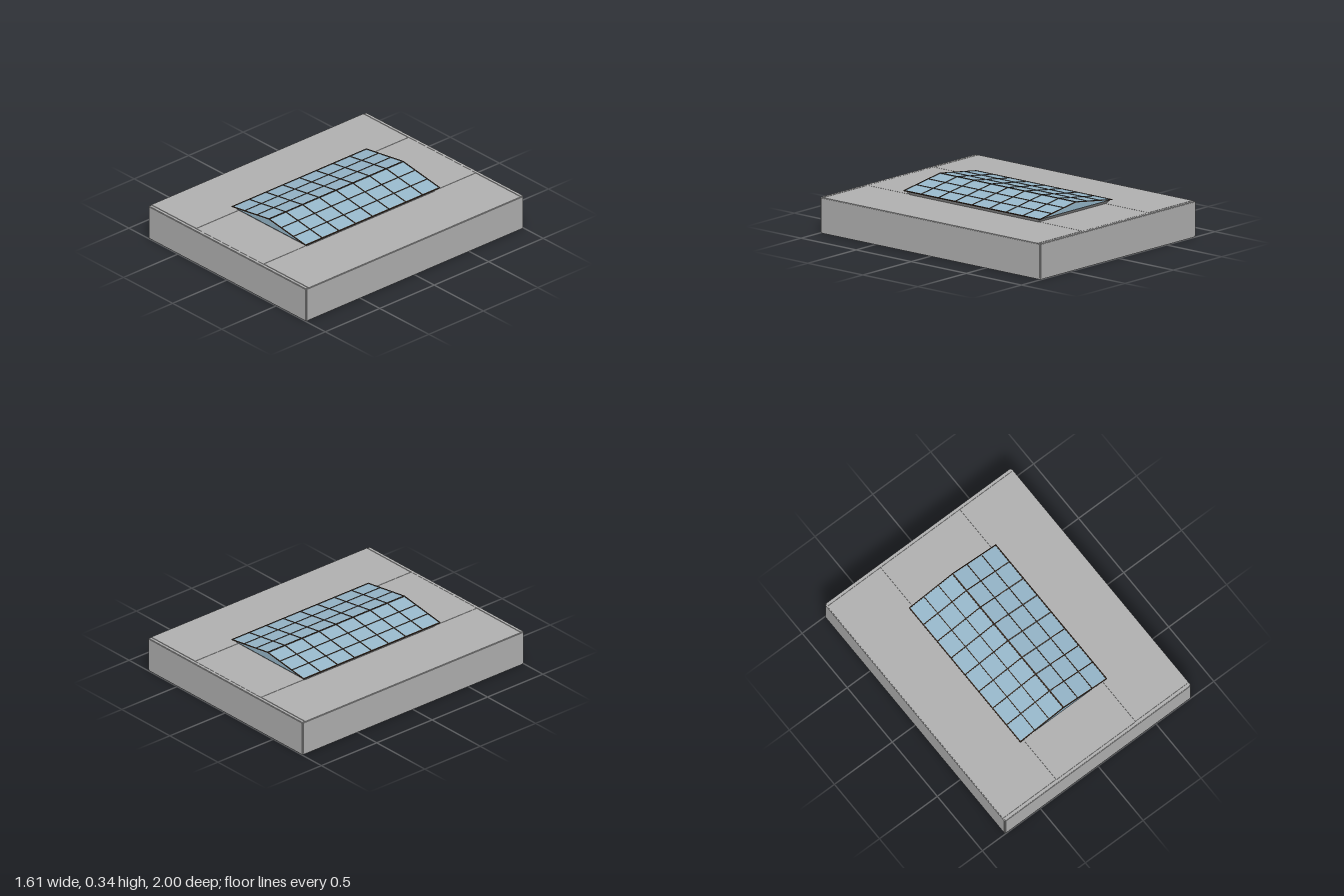
import * as THREE from 'three';

const mat = (name, color) => {
  const m = new THREE.MeshStandardMaterial({ color });
  m.name = name;
  return m;
};

export function createModel() {
  const concrete = mat('grey concrete', 0xb2b2b2);
  const glass = mat('blue glass', 0x98b9cc);
  const frame = mat('dark brown frame', 0x3a2c22);
  const root = new THREE.Group();
  root.name = 'skylightRoof';

  const add = (name, geometry, material, x = 0, y = 0, z = 0, parent = root) => {
    const mesh = new THREE.Mesh(geometry, material);
    mesh.name = name;
    mesh.position.set(x, y, z);
    parent.add(mesh);
    return mesh;
  };
  const box = (name, material, w, h, d, x, y, z, parent) =>
    add(name, new THREE.BoxGeometry(w, h, d), material, x, y, z, parent);

  // Base slab, bottom plate and wall panels with small open corners
  box('baseCore', concrete, 1.59, 0.235, 1.98, 0, 0.1265, 0);
  box('bottomPlate', concrete, 1.6, 0.01, 1.99, 0, 0.005, 0);
  for (const s of [-1, 1]) {
    box('endWall', concrete, 1.594, 0.237, 0.012, 0, 0.1285, s * 0.994);
    box('sideWall', concrete, 0.012, 0.237, 1.984, s * 0.799, 0.1285, 0);
    // Thin roof sheets beside the centre strip, and edge trims
    box('sideRoofSheet', concrete, 0.457, 0.006, 1.944, s * 0.5725, 0.249, 0);
    box('edgeTrim', concrete, 1.594, 0.006, 0.02, 0, 0.249, s * 0.987);
  }
  box('centreRoofSheet', concrete, 0.682, 0.006, 1.95, 0, 0.249, 0);

  // Flared curb: a box whose lower corners are drawn inward
  const curb = new THREE.BoxGeometry(0.73, 0.032, 1.22);
  const p = curb.attributes.position;
  for (let i = 0; i < p.count; i++) {
    if (p.getY(i) < 0) p.setXYZ(i, p.getX(i) * 0.95, p.getY(i), p.getZ(i) * 0.95);
  }
  curb.computeVertexNormals();
  add('flaredCurb', curb, concrete, 0, 0.263, 0);

  // Glazed gable roof
  const W = 0.372, L = 1.23, EAVE = 0.28, RIDGE = 0.333;
  const gable = new THREE.Shape([
    new THREE.Vector2(-W, EAVE),
    new THREE.Vector2(W, EAVE),
    new THREE.Vector2(0, RIDGE),
  ]);
  add('skylightGlass', new THREE.ExtrudeGeometry(gable, { depth: L, bevelEnabled: false }),
    glass, 0, 0, -L / 2);

  // Glazing bars, laid out in the plane of each slope
  const rise = RIDGE - EAVE;
  const slopeLength = Math.hypot(W, rise);
  for (const s of [-1, 1]) {
    const slope = new THREE.Group();
    slope.name = s > 0 ? 'leftGlazingBars' : 'rightGlazingBars';
    slope.position.set(s * W / 2, (EAVE + RIDGE) / 2, 0);
    slope.rotation.z = -s * Math.atan2(rise, W);
    root.add(slope);
    for (let i = 0; i <= 8; i++) {
      box('crossBar', frame, slopeLength + 0.004, 0.006, 0.007, 0, 0, -L / 2 + (L * i) / 8, slope);
    }
    for (const f of [-1 / 6, 1 / 6]) {
      box('longBar', frame, 0.006, 0.006, L, slopeLength * f, 0, 0, slope);
    }
    box('eaveBar', frame, 0.008, 0.006, L + 0.007, s * slopeLength / 2, 0, 0, slope);
  }
  box('ridgeBar', frame, 0.01, 0.006, L + 0.007, 0, RIDGE, 0);

  return root;
}
